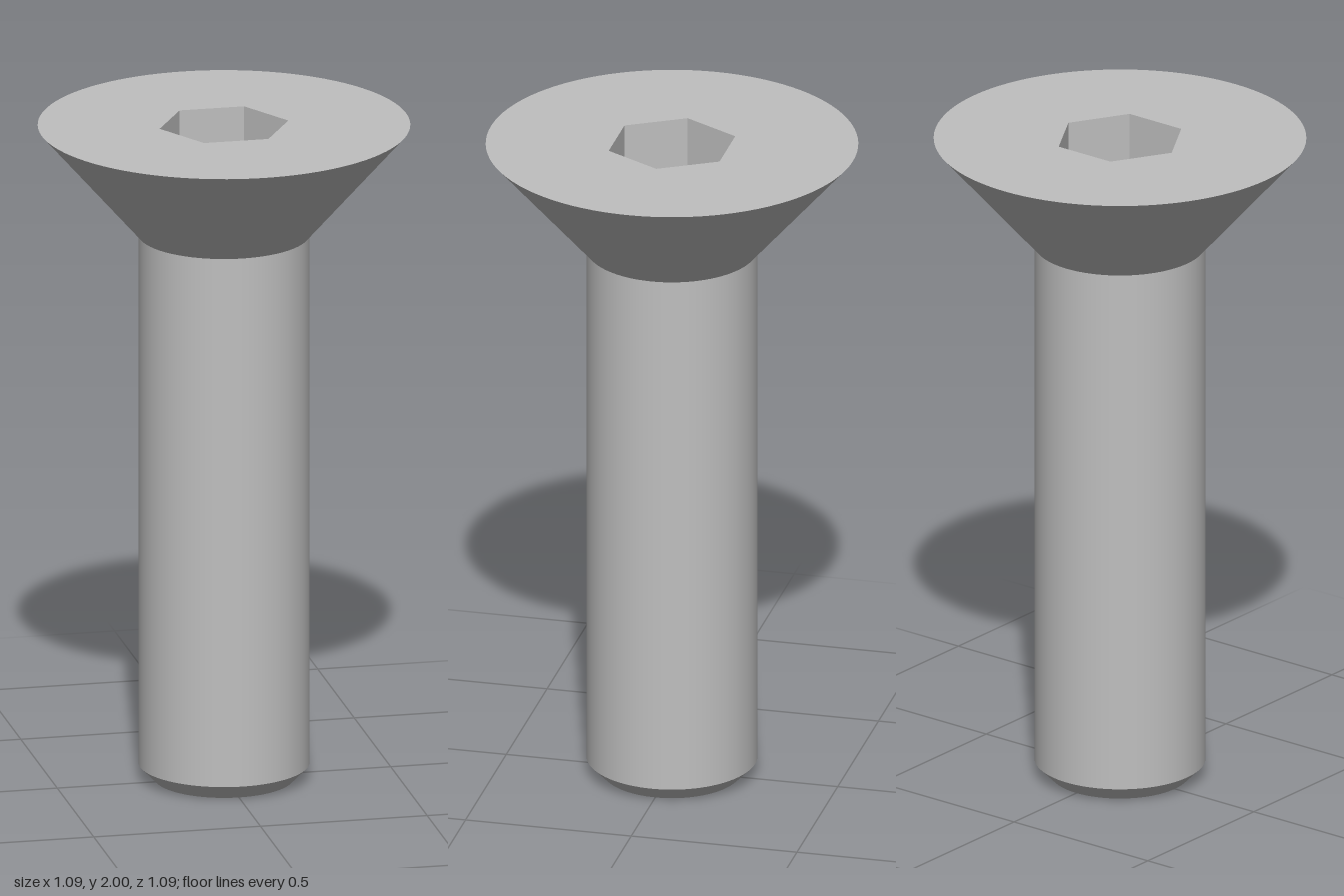
import * as THREE from 'three';

const SEGMENTS = 96;
const HEAD_R = 0.546, SHANK_R = 0.251, TIP_R = 0.205;
const TOP = 2, NECK = 1.665, CHAMFER = 0.047;
const SOCKET_R = 0.193, SOCKET_DEPTH = 0.21;

// Points of a regular polygon with a corner on +x
function ring(radius, count) {
  return Array.from({ length: count }, (_, i) => {
    const a = (i / count) * Math.PI * 2;
    return new THREE.Vector2(radius * Math.cos(a), radius * Math.sin(a));
  });
}

export function createModel() {
  const model = new THREE.Group();
  model.name = 'countersunkScrew';
  const steel = new THREE.MeshStandardMaterial({ color: 0xbfbfbf });
  steel.name = 'steel';

  function add(name, geometry, y = 0) {
    const mesh = new THREE.Mesh(geometry, steel);
    mesh.name = name;
    mesh.position.y = y;
    model.add(mesh);
  }
  // Open-ended side wall between two heights
  function wall(name, rTop, rBottom, yTop, yBottom) {
    add(name, new THREE.CylinderGeometry(rTop, rBottom, yTop - yBottom, SEGMENTS, 1, true), (yTop + yBottom) / 2);
  }

  // Conical head, straight shank and chamfered tip
  wall('headCone', HEAD_R, SHANK_R, TOP, NECK);
  wall('shank', SHANK_R, SHANK_R, NECK, CHAMFER);
  wall('tipChamfer', SHANK_R, TIP_R, CHAMFER, 0);
  add('tipFace', new THREE.CircleGeometry(TIP_R, SEGMENTS).rotateX(Math.PI / 2));

  // Flat head face with a hexagonal opening
  const hex = ring(SOCKET_R, 6);
  const face = new THREE.Shape(ring(HEAD_R, SEGMENTS));
  face.holes.push(new THREE.Path(hex.slice().reverse()));
  add('headFace', new THREE.ShapeGeometry(face).rotateX(-Math.PI / 2), TOP);

  // Socket walls facing inward, each a flat plane
  const apothem = SOCKET_R * Math.cos(Math.PI / 6);
  for (let i = 0; i < 6; i++) {
    const side = new THREE.PlaneGeometry(SOCKET_R, SOCKET_DEPTH);
    side.translate(0, 0, -apothem).rotateY((i * Math.PI) / 3);
    add('socketWall', side, TOP - SOCKET_DEPTH / 2);
  }
  add('socketFloor', new THREE.ShapeGeometry(new THREE.Shape(hex)).rotateX(-Math.PI / 2), TOP - SOCKET_DEPTH);

  return model;
}
